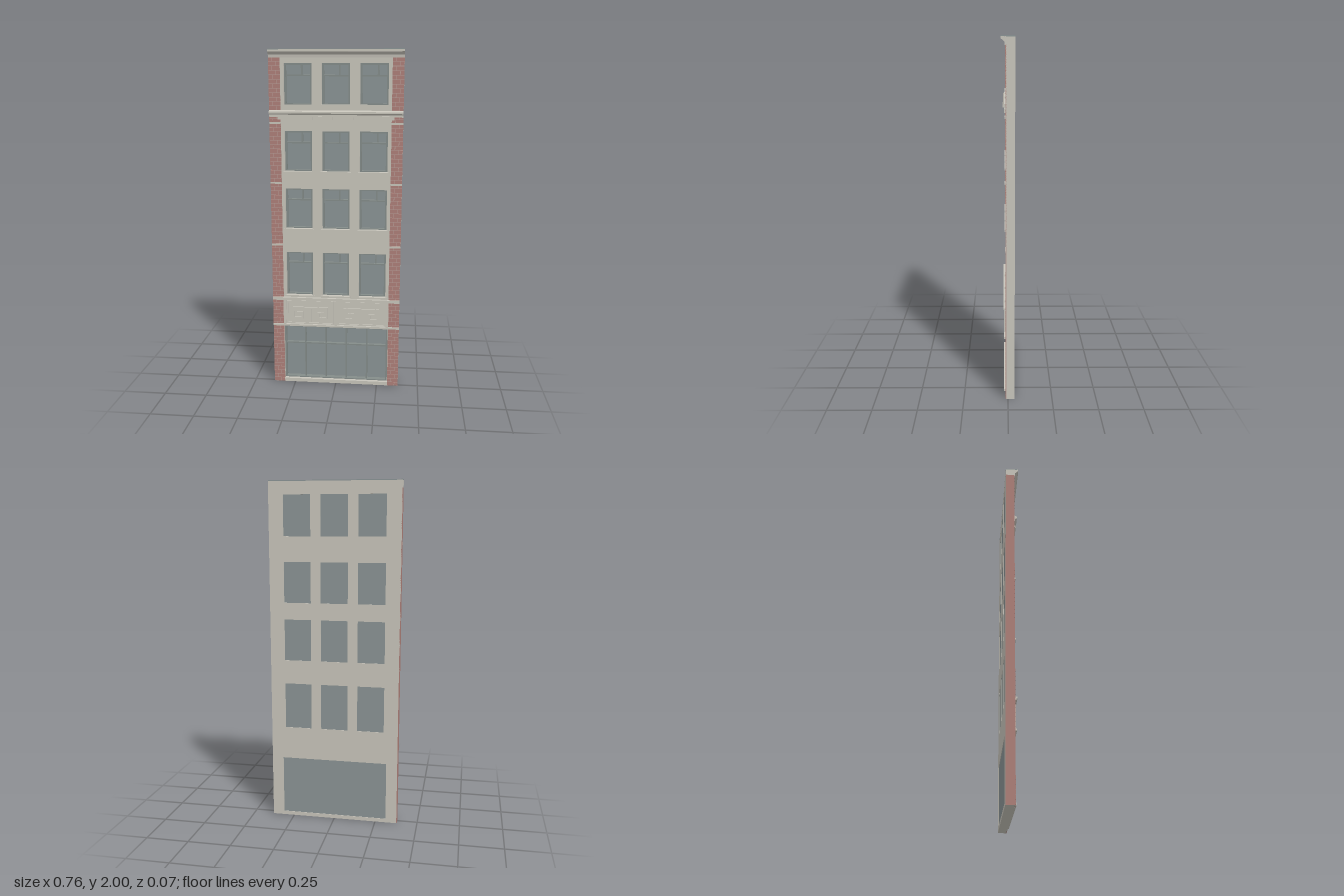
import * as THREE from 'three';
import { mergeGeometries } from 'three/addons/utils/BufferGeometryUtils.js';

const mat = (name, color) => new THREE.MeshStandardMaterial({ name, color });

export function createModel() {
  const stone = mat('stone', 0xc9c6bc);
  const brick = mat('brick', 0xae8079);
  const mortar = mat('mortar', 0xb9a099);
  const glass = mat('glass', 0x8b9495);
  const frameGrey = mat('frameGrey', 0x858d8a);
  const roofGrey = mat('roofGrey', 0x8b9596);

  const root = new THREE.Group();
  root.name = 'townhouseFacade';

  // Box geometry from its limits
  const span = (x0, x1, y0, y1, z0, z1) =>
    new THREE.BoxGeometry(x1 - x0, y1 - y0, z1 - z0)
      .translate((x0 + x1) / 2, (y0 + y1) / 2, (z0 + z1) / 2);
  const add = (name, material, geos, parent = root) => {
    const mesh = new THREE.Mesh(geos.length > 1 ? mergeGeometries(geos) : geos[0], material);
    mesh.name = name;
    parent.add(mesh);
    return mesh;
  };

  const W = 0.38, back = -0.037, face = 0.01;
  const columns = [-0.216, 0, 0.216];
  const rows = [[0.56, 0.83], [0.97, 1.212], [1.31, 1.545], [1.69, 1.922]];
  const half = 0.079;
  const shop = { x: 0.313, y0: 0.022, y1: 0.368 };

  // Wall with openings
  const wall = new THREE.Shape();
  const rectangle = (path, x0, x1, y0, y1) => path
    .moveTo(x0, y0).lineTo(x1, y0).lineTo(x1, y1).lineTo(x0, y1).lineTo(x0, y0);
  rectangle(wall, -W, W, 0, 1.995);
  const cut = (...r) => {
    const hole = new THREE.Path();
    rectangle(hole, ...r);
    wall.holes.push(hole);
  };
  cut(-shop.x, shop.x, shop.y0, shop.y1);
  for (const [y0, y1] of rows) for (const x of columns) cut(x - half, x + half, y0, y1);
  add('wall', stone, [new THREE.ExtrudeGeometry(wall, { depth: face - back, bevelEnabled: false })
    .translate(0, 0, back)]);

  // Rectangular ring of four bars
  const ring = (x0, x1, y0, y1, t, z0, z1) => [
    span(x0, x0 + t, y0, y1, z0, z1), span(x1 - t, x1, y0, y1, z0, z1),
    span(x0 + t, x1 - t, y0, y0 + t, z0, z1), span(x0 + t, x1 - t, y1 - t, y1, z0, z1),
  ];

  // Upper windows
  for (const [y0, y1] of rows) for (const x of columns) {
    const win = new THREE.Group();
    win.name = 'window';
    root.add(win);
    const bar = y1 - 0.068;
    add('windowPane', glass, [span(x - half, x + half, y0, y1, -0.034, -0.028)], win);
    add('windowFrame', frameGrey, [
      ...ring(x - half, x + half, y0, y1, 0.01, -0.028, -0.008),
      span(x - half + 0.01, x + half - 0.01, bar - 0.004, bar + 0.004, -0.028, -0.01),
      span(x + 0.016, x + 0.024, bar + 0.004, y1 - 0.01, -0.028, -0.014),
    ], win);
    add('windowSill', stone, [span(x - 0.087, x + 0.087, y0 - 0.007, y0 + 0.004, -0.008, 0.018)], win);
  }

  // Shop window
  const shopGroup = new THREE.Group();
  shopGroup.name = 'shopWindow';
  root.add(shopGroup);
  add('shopPane', glass, [span(-shop.x, shop.x, shop.y0, shop.y1, -0.034, -0.028)], shopGroup);
  add('shopFrame', frameGrey, [
    ...ring(-shop.x, shop.x, shop.y0, shop.y1, 0.01, -0.028, 0.002),
    span(-shop.x + 0.01, shop.x - 0.01, 0.246, 0.254, -0.028, -0.008),
    ...[-0.1875, -0.0625, 0.0625, 0.1875].map(x =>
      span(x - 0.004, x + 0.004, shop.y0 + 0.01, shop.y1 - 0.01, -0.028, -0.006)),
  ], shopGroup);
  add('shopSill', stone, [span(-0.315, 0.315, 0.012, 0.026, 0, 0.022),
    span(-0.315, 0.315, 0, 0.012, 0, 0.013)], shopGroup);

  // Brick piers with running-bond courses
  const px = 0.315, pTop = 1.955, courses = 80, pitch = pTop / courses;
  add('rightPier', mortar, [span(-W, -px, 0, pTop, face - 0.002, 0.012)]);
  add('leftPier', mortar, [span(px, W, 0, pTop, face - 0.002, 0.012)]);
  add('rightPierSide', brick, [span(-W - 0.0006, -W + 0.002, 0, pTop, back, 0.012)]);
  const bricks = [];
  for (let i = 0; i < courses; i++) {
    const joint = i % 2 ? 0.021 : 0.043, y = i * pitch;
    for (const x0 of [-W, px]) {
      bricks.push(span(x0, x0 + joint - 0.0015, y + 0.0015, y + pitch - 0.0015, 0.011, 0.0135));
      bricks.push(span(x0 + joint + 0.0015, x0 + 0.065, y + 0.0015, y + pitch - 0.0015, 0.011, 0.0135));
    }
  }
  add('pierBricks', brick, bricks);
  add('pierBands', stone, [0.875, 1.245, 1.59].flatMap(y => [
    span(-W, -px, y - 0.005, y + 0.005, face, 0.017), span(px, W, y - 0.005, y + 0.005, face, 0.017)]));

  // Fascia between shop and first floor
  add('fasciaLedges', stone, [
    span(-W, W, 0.368, 0.38, 0, 0.021),
    span(-W, W, 0.531, 0.539, 0, 0.019),
    span(-W, W, 0.539, 0.55, 0, 0.024),
  ]);
  add('fasciaRibs', stone, [-0.308, 0, 0.308].map(x =>
    span(x - 0.008, x + 0.008, 0.38, 0.531, 0, 0.021)));
  const fret = [];
  for (const cx of [-0.154, 0.154]) {
    fret.push(...ring(cx - 0.142, cx + 0.142, 0.383, 0.529, 0.007, 0.008, 0.016));
    const bar = (x0, x1, y0, y1) => fret.push(span(cx + x0, cx + x1, y0, y1, 0.008, 0.018));
    bar(-0.106, 0.106, 0.479, 0.489);
    bar(-0.005, 0.005, 0.394, 0.479);
    // Mirrored square spirals
    for (const s of [-1, 1]) {
      const b = (a, c, y0, y1) => bar(Math.min(s * a, s * c), Math.max(s * a, s * c), y0, y1);
      b(0.096, 0.106, 0.426, 0.479);
      b(0.044, 0.106, 0.416, 0.426);
      b(0.044, 0.054, 0.426, 0.458);
      b(0.054, 0.08, 0.448, 0.458);
    }
  }
  add('fretPanels', stone, fret);

  // Moulding swept along the full width, profile in [z, y]
  const moulding = (name, points) => {
    const shape = new THREE.Shape(points.map(([z, y]) => new THREE.Vector2(-z, y)));
    add(name, stone, [new THREE.ExtrudeGeometry(shape, { depth: 2 * W, bevelEnabled: false })
      .rotateY(Math.PI / 2).translate(-W, 0, 0)]);
  };
  moulding('middleCornice', [[0, 1.625], [0.017, 1.625], [0.017, 1.637], [0.021, 1.643],
    [0.027, 1.645], [0.027, 1.655], [0.02, 1.662], [0, 1.662]]);
  add('corniceBlocks', stone, [-0.29, -0.174, -0.058, 0.058, 0.174, 0.29].map(x =>
    span(x - 0.041, x + 0.041, 1.61, 1.63, 0, 0.021)));
  moulding('topCornice', [[0, 1.952], [0.016, 1.952], [0.018, 1.968], [0.024, 1.974],
    [0.032, 1.982], [0.037, 1.984], [0.037, 1.996], [0, 1.996]]);

  // Roof
  add('roof', roofGrey, [span(-W, W, 1.995, 2, back, 0.037)]);
  return root;
}
